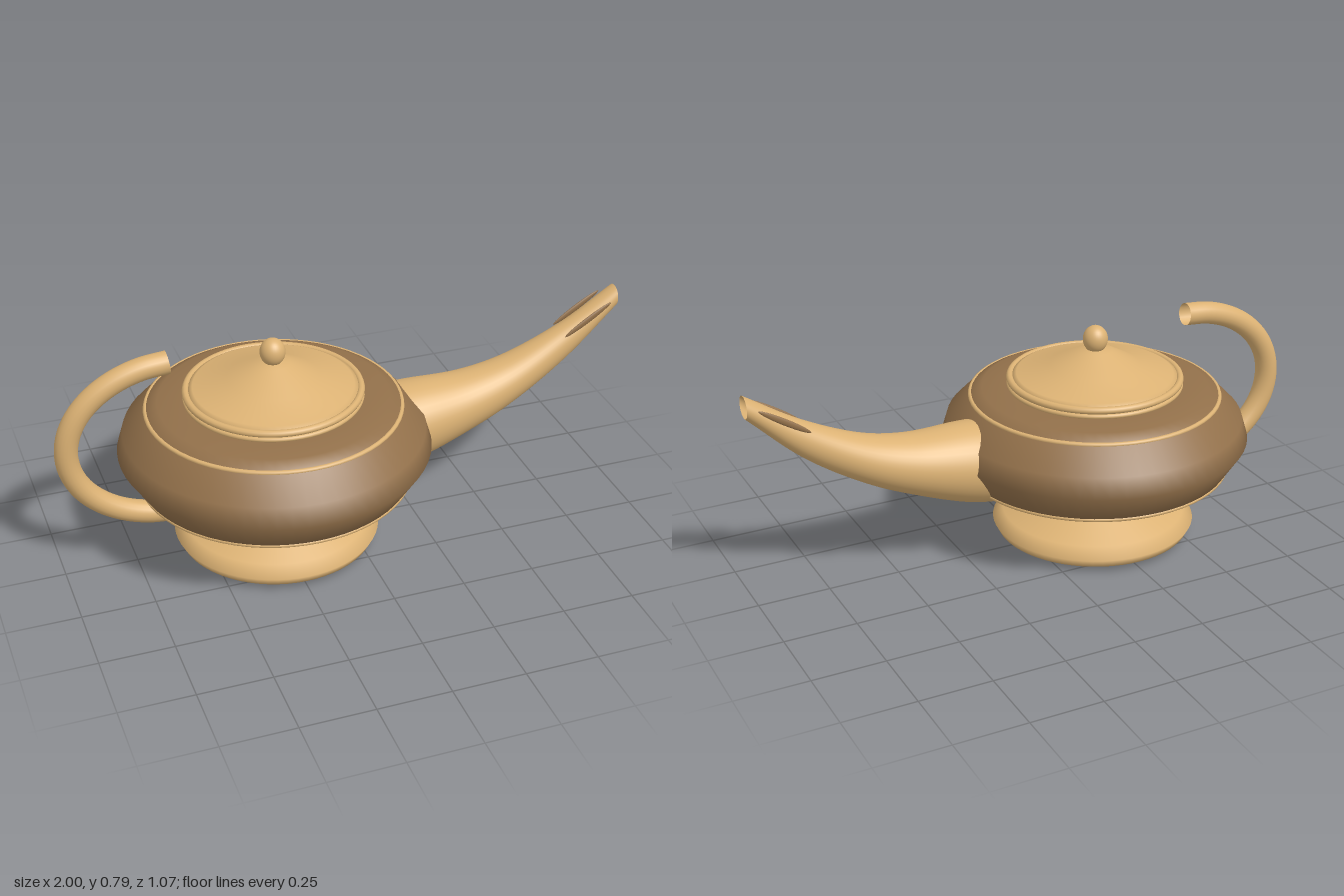
import * as THREE from 'three';

const CX = -0.25; // axis of the turned parts

export function createModel() {
  const group = new THREE.Group();
  const gold = new THREE.MeshStandardMaterial({ color: 0xdcb274, side: THREE.DoubleSide });
  gold.name = 'pale gold';
  const bronze = new THREE.MeshStandardMaterial({ color: 0x92704a, side: THREE.DoubleSide });
  bronze.name = 'bronze';

  const add = (name, geometry, material, x = 0, y = 0, z = 0) => {
    const mesh = new THREE.Mesh(geometry, material);
    mesh.name = name;
    mesh.position.set(x, y, z);
    group.add(mesh);
    return mesh;
  };
  const turned = (name, profile, material) =>
    add(name, new THREE.LatheGeometry(profile.map(([r, y]) => new THREE.Vector2(r, y)), 64), material, CX);
  const band = (name, radius, tube, y) => {
    const g = new THREE.TorusGeometry(radius, tube, 10, 64);
    g.rotateX(Math.PI / 2);
    return add(name, g, gold, CX, y);
  };

  // Foot and bowl
  turned('foot', [[0, 0], [0.27, 0.003], [0.34, 0.023], [0.355, 0.052], [0.32, 0.09],
    [0.215, 0.125], [0.145, 0.18], [0.14, 0.2]], gold);
  turned('bowl', [[0, 0.18], [0.2, 0.181], [0.375, 0.215], [0.47, 0.275], [0.533, 0.375],
    [0.512, 0.445], [0.43, 0.53], [0.39, 0.55], [0.29, 0.56], [0, 0.56]], bronze);
  band('lowerBand', 0.464, 0.008, 0.27);
  band('upperBand', 0.43, 0.008, 0.525);

  // Lid with its two rims and knob
  band('mouthRim', 0.296, 0.009, 0.565);
  band('lidRim', 0.293, 0.0125, 0.585);
  turned('lid', [[0.29, 0.56], [0.285, 0.592], [0.27, 0.6], [0.155, 0.63], [0.06, 0.683], [0, 0.69]], gold);
  add('knob', new THREE.SphereGeometry(0.043, 32, 20), gold, CX, 0.722).scale.y = 1.12;

  // Curved handle, an open half loop
  const loop = [];
  for (let i = 0; i <= 12; i++) {
    const a = Math.PI / 2 + (Math.PI * i) / 12;
    loop.push(new THREE.Vector3(-0.605 + 0.355 * Math.cos(a), 0.465 + 0.285 * Math.sin(a), 0));
  }
  add('handle', new THREE.TubeGeometry(new THREE.CatmullRomCurve3(loop), 48, 0.039, 20), gold);

  // Long tapering spout: upright oval sections [x, bottom, top, half width]
  add('spout', spoutGeometry([
    [0.125, 0.205, 0.5, 0.15], [0.25, 0.225, 0.505, 0.142], [0.44, 0.292, 0.507, 0.112],
    [0.6, 0.365, 0.54, 0.087], [0.81, 0.5, 0.635, 0.055], [1, 0.678, 0.755, 0.038],
  ]), gold);

  // Slim strips on either side of the spout tip
  for (const side of [-1, 1]) {
    const strip = add(side > 0 ? 'frontSpoutStrip' : 'backSpoutStrip',
      new THREE.SphereGeometry(1, 24, 12), bronze, 0.883, 0.662, side * 0.049);
    strip.scale.set(0.1, 0.011, 0.0055);
    strip.rotation.z = 0.565;
  }
  return group;
}

// Skin over smoothly interpolated oval sections
function spoutGeometry(sections) {
  const centre = new THREE.CatmullRomCurve3(
    sections.map(([x, lo, hi]) => new THREE.Vector3(x, (lo + hi) / 2, 0)));
  const size = new THREE.CatmullRomCurve3(
    sections.map(([x, lo, hi, w]) => new THREE.Vector3(x, (hi - lo) / 2, w)));
  const rings = 40, sides = 40, positions = [], index = [];
  for (let i = 0; i <= rings; i++) {
    const c = centre.getPoint(i / rings), s = size.getPoint(i / rings);
    for (let j = 0; j < sides; j++) {
      const a = (j / sides) * Math.PI * 2;
      positions.push(c.x, c.y + s.y * Math.cos(a), s.z * Math.sin(a));
      if (i === rings) continue;
      const p = i * sides + j, q = i * sides + ((j + 1) % sides);
      index.push(p, q, p + sides, q, q + sides, p + sides);
    }
  }
  const g = new THREE.BufferGeometry();
  g.setAttribute('position', new THREE.Float32BufferAttribute(positions, 3));
  g.setIndex(index);
  g.computeVertexNormals();
  return g;
}
